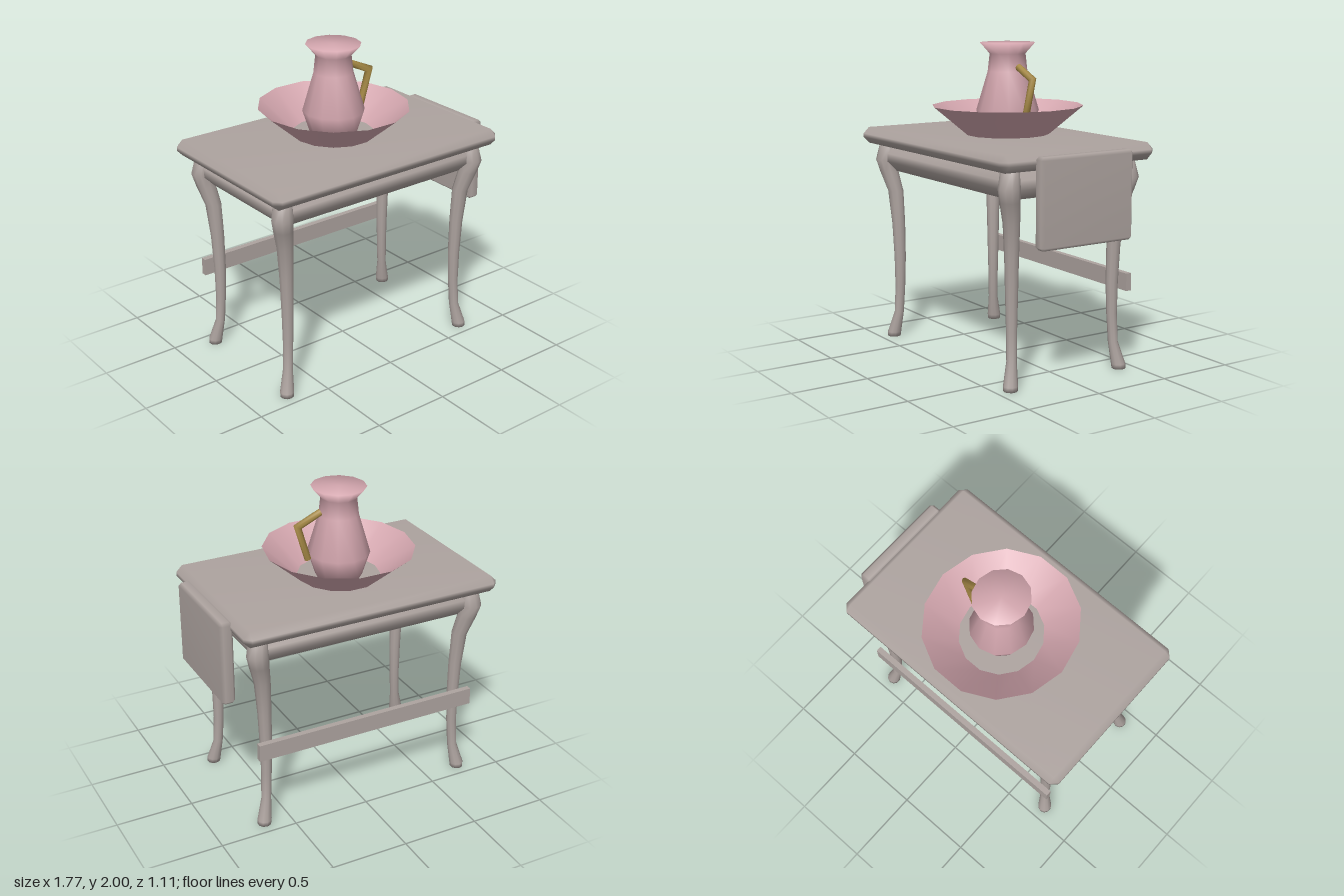
import * as THREE from 'three';
import { mergeVertices } from 'three/addons/utils/BufferGeometryUtils.js';
import { ConvexGeometry } from 'three/addons/geometries/ConvexGeometry.js';

const CX = -0.035; // table centre in x

function mat(name, color, side = THREE.FrontSide) {
  const m = new THREE.MeshStandardMaterial({ color, side });
  m.name = name;
  return m;
}

// Weld all corners so shading runs smoothly over edges
function smooth(geo) {
  geo.deleteAttribute('normal');
  if (geo.attributes.uv) geo.deleteAttribute('uv');
  const g = mergeVertices(geo, 1e-4);
  g.computeVertexNormals();
  return g;
}

// Box with 45 degree bevels of size c on every edge
function bevelBox(w, h, d, c) {
  const pts = [];
  for (const x of [-1, 1]) for (const y of [-1, 1]) for (const z of [-1, 1])
    for (let k = 0; k < 3; k++)
      pts.push(new THREE.Vector3(
        x * (w / 2 - (k === 0 ? 0 : c)),
        y * (h / 2 - (k === 1 ? 0 : c)),
        z * (d / 2 - (k === 2 ? 0 : c))));
  return smooth(new ConvexGeometry(pts));
}

// Capped loft through rings { c: centre, u, v: cross-section half axes }
function loft(rings, sides) {
  const n = rings.length - 1;
  const geo = new THREE.CylinderGeometry(1, 1, 1, sides, n);
  const pos = geo.attributes.position;
  for (let i = 0; i < pos.count; i++) {
    const { c, u, v } = rings[Math.round((0.5 - pos.getY(i)) * n)];
    const p = c.clone().addScaledVector(u, pos.getX(i)).addScaledVector(v, pos.getZ(i));
    pos.setXYZ(i, p.x, p.y, p.z);
  }
  return smooth(geo);
}

export function createModel() {
  const model = new THREE.Group();
  const wood = mat('greyWood', 0xada39f);
  const china = mat('pinkChina', 0xd3a6ae, THREE.DoubleSide);
  const brass = mat('brass', 0xa98c47);
  const V = (x, y, z) => new THREE.Vector3(x, y, z);

  function add(name, geo, material, x = 0, y = 0, z = 0) {
    const mesh = new THREE.Mesh(geo, material);
    mesh.name = name;
    mesh.position.set(x, y, z);
    model.add(mesh);
    return mesh;
  }

  // Table body
  add('tableTop', bevelBox(1.71, 0.105, 1.11, 0.04), wood, CX, 1.37, 0);
  add('apron', bevelBox(1.51, 0.185, 0.91, 0.065), wood, CX, 1.228, 0);
  add('sideLeaf', bevelBox(0.085, 0.54, 0.66, 0.018), wood, 0.842, 1.133, 0);
  add('backStretcher', new THREE.BoxGeometry(1.5, 0.11, 0.037), wood, CX, 0.553, -0.442);

  // Curved legs: height, x and z offset from the table centre, radius
  const legProfile = [
    [1.325, 0.722, 0.42, 0.055],
    [1.21, 0.735, 0.433, 0.067],
    [1.13, 0.72, 0.418, 0.061],
    [1.0, 0.69, 0.388, 0.051],
    [0.78, 0.676, 0.377, 0.043],
    [0.55, 0.67, 0.373, 0.038],
    [0.35, 0.672, 0.374, 0.033],
    [0.17, 0.681, 0.38, 0.031],
    [0.03, 0.707, 0.404, 0.045],
    [0, 0.709, 0.406, 0.043],
  ];
  for (const sx of [-1, 1]) for (const sz of [-1, 1]) {
    const rings = legProfile.map(([y, x, z, r]) => ({
      c: V(CX + sx * x, y, sz * z), u: V(r, 0, 0), v: V(0, 0, r),
    }));
    add((sz > 0 ? 'front' : 'back') + (sx > 0 ? 'Left' : 'Right') + 'Leg', loft(rings, 10), wood);
  }

  // Open-bottomed basin and closed jug, both slightly deeper than wide
  const profile = (pts) => pts.map(([r, y]) => new THREE.Vector2(r, y));
  const basin = add('basin', new THREE.LatheGeometry(
    profile([[0.257, 1.423], [0.468, 1.605]]), 14, Math.PI / 2), china, CX, 0, -0.047);
  const jug = add('jug', new THREE.LatheGeometry(profile([
    [0, 1.425], [0.145, 1.425], [0.193, 1.575], [0.122, 1.82], [0.11, 1.93], [0.17, 2], [0, 2],
  ]), 12), china, CX, 0, -0.047);
  basin.scale.z = jug.scale.z = 1.04;

  // Bent handle with a mitred corner
  const r = 0.022, v = V(0, 0, r);
  add('jugHandle', loft([
    { c: V(0.09, 1.85, 0), u: V(0.36 * r, 0.93 * r, 0), v },
    { c: V(0.242, 1.782, 0), u: V(1.22 * r, 0.6 * r, 0), v },
    { c: V(0.175, 1.56, 0), u: V(0.96 * r, -0.28 * r, 0), v },
  ], 8), brass, 0, 0, -0.045);

  return model;
}
